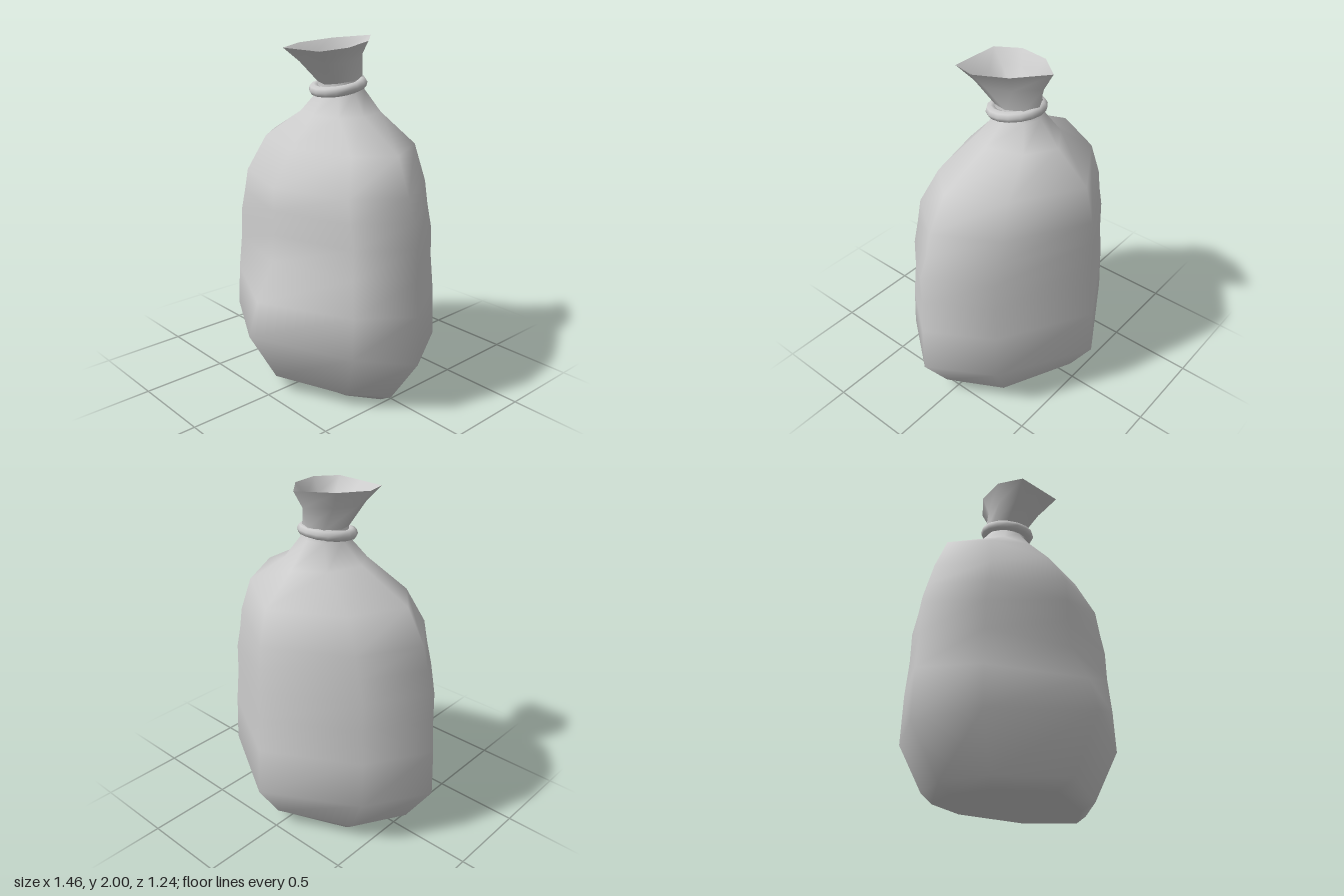
import * as THREE from 'three';

const material = new THREE.MeshStandardMaterial({ color: 0xcccccc, side: THREE.DoubleSide });

// Skin closed rings of points, listed from bottom to top; corners shared for smooth shading
function loft(rings) {
  const n = rings[0].length;
  const index = [];
  for (let r = 0; r < rings.length - 1; r++) {
    for (let i = 0; i < n; i++) {
      const a = r * n + i, b = r * n + (i + 1) % n;
      index.push(a, b, b + n, a, b + n, a + n);
    }
  }
  const geometry = new THREE.BufferGeometry();
  geometry.setAttribute('position', new THREE.Float32BufferAttribute(rings.flat(2), 3));
  geometry.setIndex(index);
  geometry.computeVertexNormals();
  return geometry;
}

// Eight-cornered section: front, three corners on the left, back, then mirrored
function section([sideX, sideY, sideZ, front, frontY, back, backY, kx, kf, kb]) {
  const left = [
    [sideX * kx, (sideY + frontY) / 2, front * kf],
    [sideX, sideY, sideZ],
    [sideX * kx, (sideY + backY) / 2, back * kb],
  ];
  const right = left.map(([x, y, z]) => [-x, y, z]).reverse();
  return [[0, frontY, front], ...left, [0, backY, back], ...right];
}

const point = (x, y, z) => Array.from({ length: 8 }, () => [x, y, z]);

function addMesh(group, name, geometry) {
  const mesh = new THREE.Mesh(geometry, material);
  mesh.name = name;
  group.add(mesh);
  return mesh;
}

export function createModel() {
  const group = new THREE.Group();
  group.name = 'tiedSack';

  // Sack body: sideX, sideY, sideZ, front, frontY, back, backY, corner factors
  const body = [
    [0.47, 0.00, 0.05, 0.33, 0.05, -0.42, 0.05, 0.72, 0.6, 0.6],
    [0.55, 0.05, 0.05, 0.44, 0.10, -0.48, 0.10, 0.72, 0.57, 0.57],
    [0.73, 0.32, 0.04, 0.62, 0.41, -0.62, 0.32, 0.71, 0.52, 0.52],
    [0.72, 0.60, 0.04, 0.56, 0.60, -0.605, 0.60, 0.71, 0.56, 0.52],
    [0.705, 0.80, 0.04, 0.45, 0.81, -0.59, 0.80, 0.70, 0.67, 0.52],
    [0.70, 0.97, 0.04, 0.445, 0.97, -0.585, 0.97, 0.70, 0.67, 0.52],
    [0.655, 1.10, 0.03, 0.435, 1.10, -0.57, 1.10, 0.70, 0.67, 0.53],
    [0.62, 1.23, 0.03, 0.43, 1.23, -0.56, 1.23, 0.70, 0.66, 0.54],
    [0.52, 1.43, 0.01, 0.30, 1.43, -0.51, 1.43, 0.70, 0.66, 0.56],
    [0.23, 1.59, -0.02, 0.15, 1.59, -0.32, 1.59, 0.70, 0.68, 0.68],
    [0.12, 1.71, -0.05, 0.06, 1.70, -0.20, 1.72, 0.72, 0.6, 0.8],
    [0.11, 1.77, -0.05, 0.06, 1.75, -0.19, 1.79, 0.72, 0.7, 0.8],
  ].map(section);
  addMesh(group, 'sackBody', loft([point(0, 0.03, 0), ...body]));

  // Gathered mouth: flat at the front, pointed at the back
  const half = [[0.15, 0.235], [0.205, 0.08], [0.145, -0.12]];
  const outline = [[0, 0.235], ...half, [0, -0.28], ...half.map(([x, z]) => [-x, z]).reverse()];
  const mouthRing = (scale, y, slope, z0, dx) =>
    outline.map(([x, z]) => [x * scale + dx, y - slope * z, z0 + (z + 0.03) * scale]);
  const rim = mouthRing(1, 1.973, 0.097, -0.03, 0.01);
  addMesh(group, 'mouthOuter', loft([
    body[body.length - 1],
    mouthRing(0.72, 1.885, 0.05, -0.04, 0.005),
    rim,
  ]));
  addMesh(group, 'mouthInner', loft([
    rim,
    mouthRing(0.66, 1.905, 0.05, -0.035, 0.005),
    mouthRing(0.42, 1.82, 0.05, -0.05, 0),
    point(0, 1.79, -0.05),
  ]));

  // Cord tied round the neck, tilted down to the front
  const cord = addMesh(group, 'neckCord',
    new THREE.TorusGeometry(0.13, 0.03, 8, 16).rotateX(Math.PI / 2));
  cord.scale.z = 1.06;
  cord.position.set(0, 1.737, -0.04);
  cord.rotation.x = 0.17;

  return group;
}
